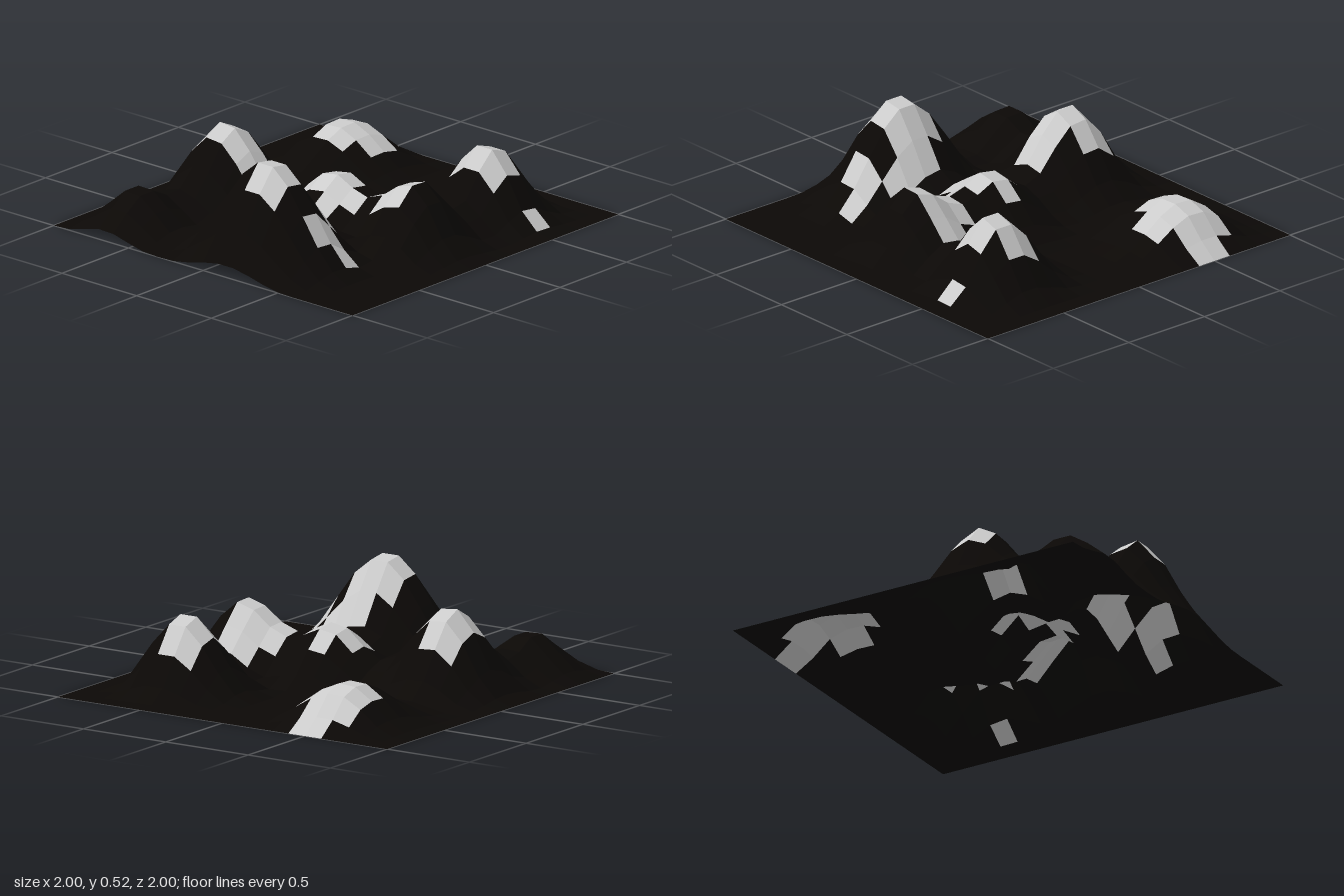
import * as THREE from 'three';

const N = 20;

// Hills: centre x, centre z, height, radius in x, radius in z
const hills = [
  [-0.56, 0.195, 0.44, 0.52, 0.50],
  [0.15, 0.66, 0.54, 0.61, 0.47],
  [0.55, -0.525, 0.40, 0.48, 0.42],
  [0.58, 0.055, 0.365, 0.47, 0.46],
  [0.07, 0.07, 0.30, 0.46, 0.46],
  [-0.54, -0.66, 0.22, 0.51, 0.58],
  [-0.68, 0.75, 0.23, 0.45, 0.41],
];

// Pale cells by row, counted from the back; each pair is first and last column
const paleRows = {
  0: [[4, 5]],
  1: [[3, 5]],
  2: [[3, 6]],
  3: [[3, 6], [14, 15]],
  4: [[4, 5], [14, 16], [18, 18]],
  5: [[14, 16]],
  8: [[14, 15]],
  9: [[10, 10], [13, 15]],
  10: [[3, 4], [9, 11], [13, 15]],
  11: [[3, 6], [9, 12], [14, 15]],
  12: [[3, 6], [11, 11]],
  14: [[11, 13]],
  15: [[10, 12], [14, 15]],
  16: [[10, 12], [14, 14]],
  17: [[11, 12]],
};

const isPale = (i, j) => (paleRows[j] || []).some(([a, b]) => i >= a && i <= b);

// The land fades to zero at the sides and back; the front edge stays wavy
function height(x, z) {
  const fade = (d, w) => Math.pow(Math.min(1, Math.max(0, d) / w), 0.75);
  let h = 0;
  for (const [cx, cz, top, rx, rz] of hills) {
    const d = Math.min(1, Math.hypot((x - cx) / rx, (z - cz) / rz));
    h += top * Math.max(0, Math.cos((d * Math.PI) / 2)) ** 2.5;
  }
  return h * fade(1 - Math.abs(x), 0.33) * fade(1 + z, 0.18);
}

function gridPoint(i, j) {
  const x = -1 + (2 * i) / N;
  const z = -1 + (2 * j) / N;
  return new THREE.Vector3(x, height(x, z), z);
}

// Surface made of the chosen grid cells, each cell shaded as one facet
function terrain(name, color, pick) {
  const positions = [];
  const normals = [];
  for (let j = 0; j < N; j++) {
    for (let i = 0; i < N; i++) {
      if (!pick(i, j)) continue;
      const a = gridPoint(i, j), b = gridPoint(i, j + 1);
      const c = gridPoint(i + 1, j + 1), d = gridPoint(i + 1, j);
      const normal = c.clone().sub(a).cross(d.clone().sub(b)).normalize();
      for (const p of [a, b, d, b, c, d]) {
        positions.push(...p.toArray());
        normals.push(...normal.toArray());
      }
    }
  }
  const geometry = new THREE.BufferGeometry();
  geometry.setAttribute('position', new THREE.Float32BufferAttribute(positions, 3));
  geometry.setAttribute('normal', new THREE.Float32BufferAttribute(normals, 3));
  const material = new THREE.MeshStandardMaterial({ color, side: THREE.DoubleSide });
  const mesh = new THREE.Mesh(geometry, material);
  mesh.name = name;
  return mesh;
}

export function createModel() {
  const group = new THREE.Group();
  group.name = 'hillyTerrain';
  group.add(
    terrain('darkGround', 0x0b0806, (i, j) => !isPale(i, j)),
    terrain('palePatches', 0xcccccc, isPale),
  );
  return group;
}
